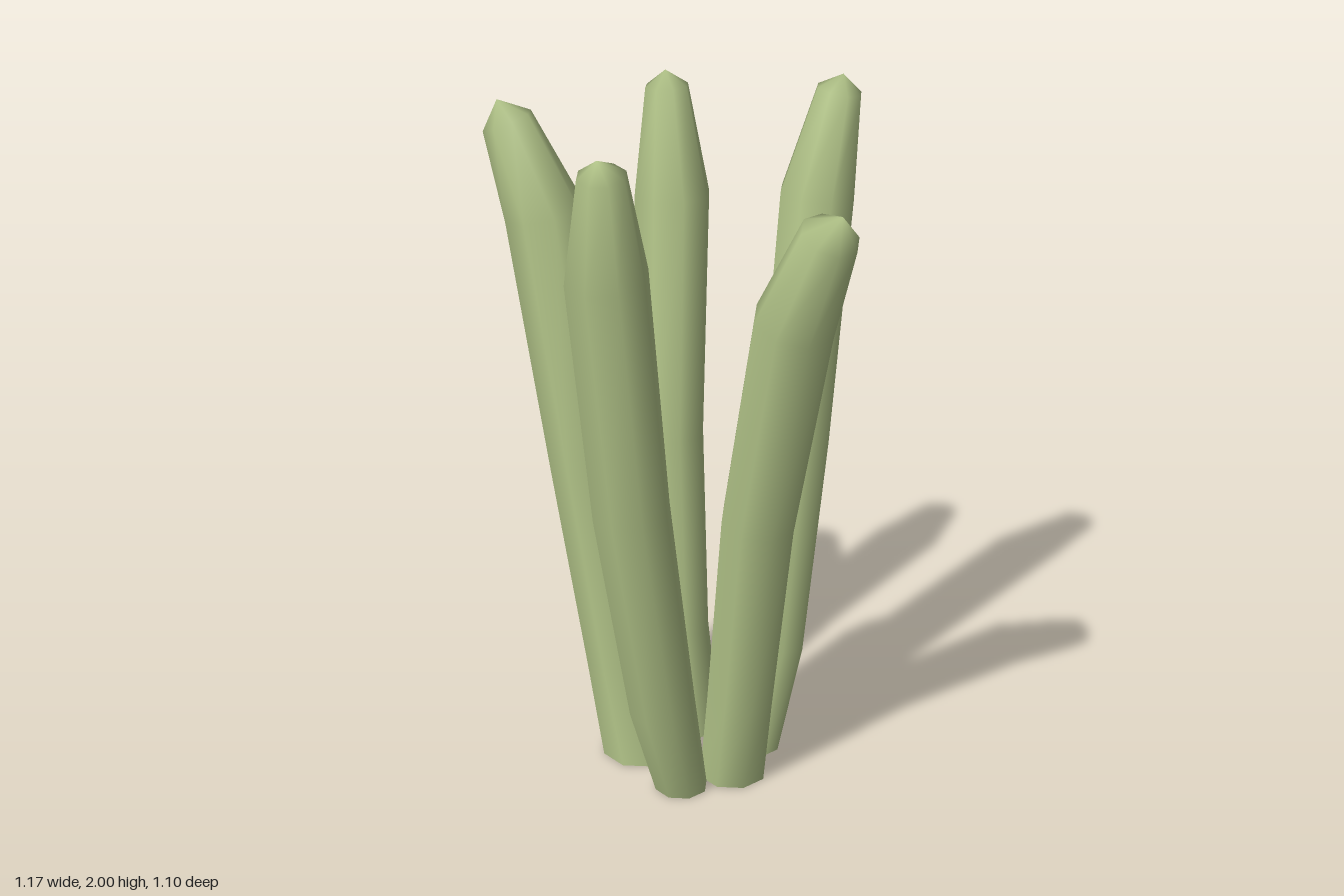
import * as THREE from 'three';

const SIDES = 8;

// Each stalk: rings [x, y, z, radius] from the open base to the shoulder; the last entry is the tip point
const STALKS = {
  frontRightStalk: [
    [-0.195, 0, 0.04, 0.115], [-0.248, 0.31, 0.07, 0.1], [-0.33, 0.92, 0.11, 0.106],
    [-0.43, 1.65, 0.15, 0.113], [-0.522, 1.9, 0.192, 0.072], [-0.54, 1.96, 0.21, 0],
  ],
  backRightStalk: [
    [-0.19, 0, -0.155, 0.105], [-0.235, 0.31, -0.165, 0.1], [-0.285, 0.92, -0.195, 0.103],
    [-0.31, 1.63, -0.24, 0.11], [-0.328, 1.94, -0.24, 0.062], [-0.33, 1.985, -0.237, 0],
  ],
  backStalk: [
    [0.045, 0, -0.195, 0.077], [0.04, 0.31, -0.278, 0.1], [0.04, 0.95, -0.37, 0.108],
    [0.052, 1.66, -0.44, 0.11], [0.093, 1.955, -0.475, 0.065], [0.1, 2.0, -0.482, 0],
  ],
  frontStalk: [
    [0.033, 0, 0.122, 0.077], [0.04, 0.31, 0.21, 0.096], [0.045, 0.96, 0.335, 0.108],
    [0.062, 1.66, 0.437, 0.112], [0.1, 1.95, 0.49, 0.065], [0.095, 1.99, 0.5, 0],
  ],
  leftStalk: [
    [0.095, 0, -0.035, 0.1], [0.14, 0.29, -0.015, 0.1], [0.228, 0.88, 0.02, 0.107],
    [0.38, 1.51, 0.067, 0.113], [0.515, 1.785, 0.1, 0.08], [0.552, 1.843, 0.1, 0],
  ],
};

// Rings set square to the stalk's path, joined into a smooth tube that closes at the tip
function stalkGeometry(rows) {
  const centres = rows.map(([x, y, z]) => new THREE.Vector3(x, y, z));
  const up = new THREE.Vector3(0, 1, 0);
  const tip = rows.length - 1;
  const positions = [];
  const indices = [];
  for (let i = 0; i < tip; i++) {
    const axis = i === 0 ? up : centres[i + 1].clone().sub(centres[i - 1]).normalize();
    const turn = new THREE.Quaternion().setFromUnitVectors(up, axis);
    for (let j = 0; j < SIDES; j++) {
      const a = ((j + 0.3) / SIDES) * Math.PI * 2;
      const p = new THREE.Vector3(Math.sin(a), 0, Math.cos(a))
        .multiplyScalar(rows[i][3]).applyQuaternion(turn).add(centres[i]);
      positions.push(p.x, p.y, p.z);
    }
  }
  positions.push(...centres[tip].toArray());
  for (let i = 0; i < tip; i++) {
    for (let j = 0; j < SIDES; j++) {
      const k = (j + 1) % SIDES;
      const a = i * SIDES + j;
      const b = i * SIDES + k;
      if (i === tip - 1) indices.push(a, b, tip * SIDES);
      else indices.push(a, b, b + SIDES, a, b + SIDES, a + SIDES);
    }
  }
  const geometry = new THREE.BufferGeometry();
  geometry.setAttribute('position', new THREE.Float32BufferAttribute(positions, 3));
  geometry.setIndex(indices);
  geometry.computeVertexNormals();
  return geometry;
}

export function createModel() {
  const group = new THREE.Group();
  group.name = 'stalkCluster';
  // Open at the base, so both sides show
  const green = new THREE.MeshStandardMaterial({ color: 0xb4c68a, side: THREE.DoubleSide });
  for (const [name, rows] of Object.entries(STALKS)) {
    const mesh = new THREE.Mesh(stalkGeometry(rows), green);
    mesh.name = name;
    group.add(mesh);
  }
  return group;
}
